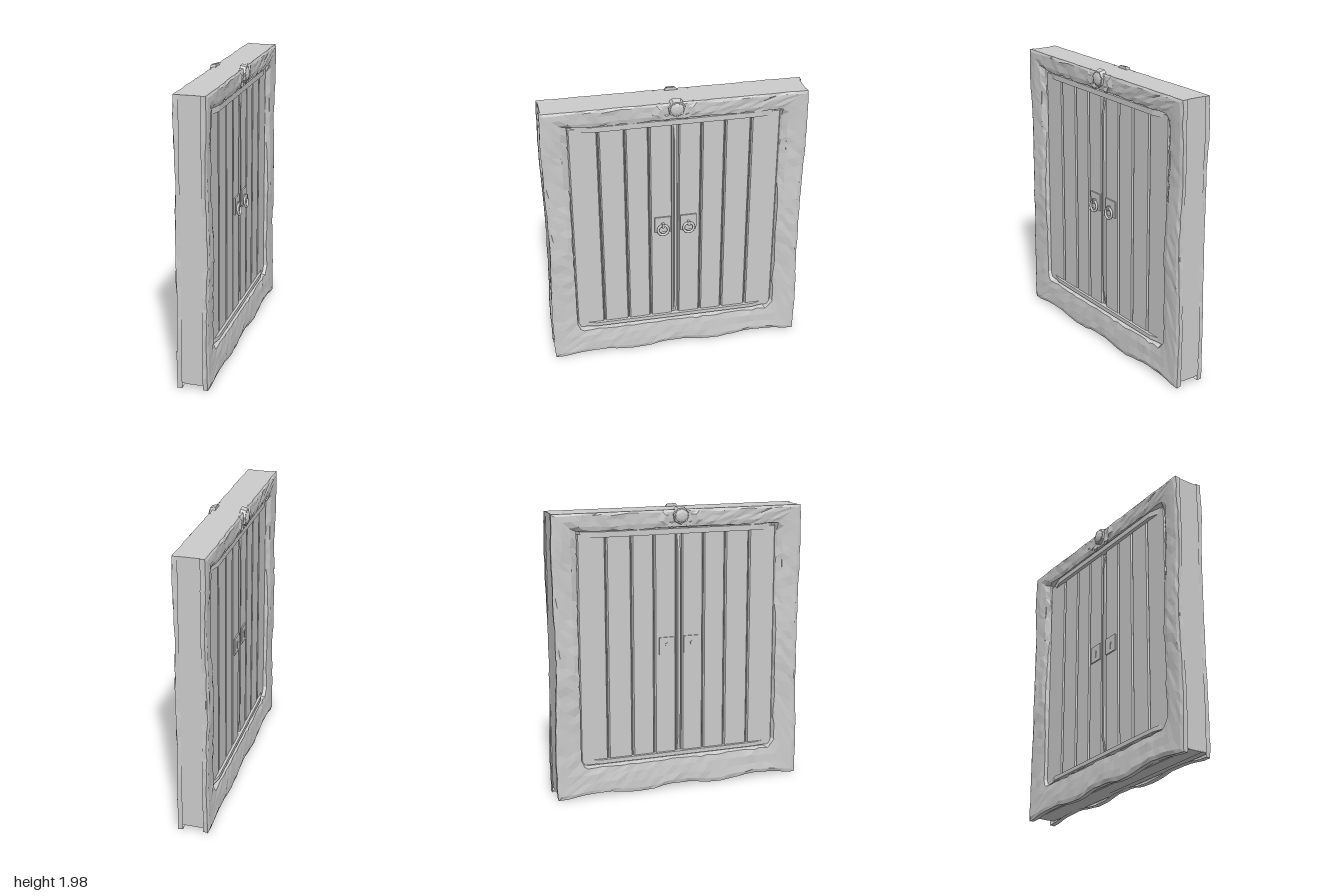
import * as THREE from 'three';

const stone = new THREE.MeshStandardMaterial({ color: 0xcccccc, flatShading: true, side: THREE.DoubleSide });
const smooth = new THREE.MeshStandardMaterial({ color: 0xcccccc });

function add(parent, name, geometry, x = 0, y = 0, z = 0, material = stone) {
  const mesh = new THREE.Mesh(geometry, material);
  mesh.name = name;
  mesh.position.set(x, y, z);
  parent.add(mesh);
  return mesh;
}

// Repeatable noise in -1..1
const noise = (a, b) => {
  const s = Math.sin(a * 127.1 + b * 311.7) * 43758.5453;
  return (s - Math.floor(s)) * 2 - 1;
};

// Point on a rectangle outline, walking anticlockwise from the bottom left corner
function rectPoint(side, t, hw, y0, y1) {
  const c = [[-hw, y0], [hw, y0], [hw, y1], [-hw, y1]];
  const a = c[side], b = c[(side + 1) % 4];
  return [a[0] + (b[0] - a[0]) * t, a[1] + (b[1] - a[1]) * t];
}

// Rough hewn surround: a cross-section swept round the doorway, outer rim to inner lip
function frameGeometry() {
  const steps = 28, count = steps * 4;
  const section = [[0.012, 0.07], [0.01, 0.088], [0, 0.101], [0.13, 0.108], [0.4, 0.106], [0.72, 0.104], [0.95, 0.097], [1, 0.06]];
  const positions = [], index = [];
  section.forEach(([f, depth], row) => {
    for (let i = 0; i < count; i++) {
      const side = Math.floor(i / steps), t = (i % steps) / steps;
      const outer = rectPoint(side, t, 0.885, 0.03, 1.972);
      const inner = rectPoint(side, t, 0.71, 0.225, 1.845);
      // wavy outer edges
      const low = side === 0 || i === steps;
      if (low) outer[1] = 0.024 - 0.014 * Math.cos((Math.abs(outer[0]) - 0.29) * 10.5) + noise(i, 3) * 0.004;
      if (side % 2) outer[0] += Math.sign(outer[0]) * 0.007 * Math.cos((outer[1] - 0.3) * 4.5) + noise(i, 5) * 0.003;
      // clipped lower corners of the opening
      if (i === 0 || i === steps) { inner[0] *= 0.965; inner[1] += 0.02; }
      let x = outer[0] + (inner[0] - outer[0]) * f;
      let y = outer[1] + (inner[1] - outer[1]) * f;
      let z = depth;
      if (row > 0 && row < 7) {
        z += 0.004 * Math.cos(y * 6.6) + noise(i, row) * 0.0035;
        if (row > 2) {
          x += noise(i + 40, row) * 0.006;
          y += noise(i + 80, row) * 0.006;
        }
        // jambs fade into the door towards the top
        if (side % 2 && row > 4) z -= THREE.MathUtils.smoothstep(y, 0.9, 1.6) * (row === 6 ? 0.022 : 0.006);
      }
      positions.push(x, y, z);
    }
  });
  for (let r = 0; r < section.length - 1; r++) {
    for (let i = 0; i < count; i++) {
      const j = (i + 1) % count;
      const a = r * count + i, b = r * count + j, c = a + count, d = b + count;
      index.push(a, b, d, a, d, c);
    }
  }
  const g = new THREE.BufferGeometry();
  g.setAttribute('position', new THREE.Float32BufferAttribute(positions, 3));
  g.setIndex(index);
  g.computeVertexNormals();
  return g;
}

// Plank with chamfered long edges
function plankGeometry(width, height) {
  const h = width / 2, c = 0.008;
  const s = new THREE.Shape();
  [[-h, 0], [h, 0], [h, 0.014], [h - c, 0.022], [c - h, 0.022], [-h, 0.014]]
    .forEach(([x, y], i) => (i ? s.lineTo(x, y) : s.moveTo(x, y)));
  const g = new THREE.ExtrudeGeometry(s, { depth: height, bevelEnabled: false });
  return g.rotateX(Math.PI / 2).scale(1, 1, -1).rotateX(0).translate(0, height / 2, 0);
}

// Ridged moulding with mitred ends
function mouldingGeometry(length, height, depth) {
  const g = new THREE.CylinderGeometry(Math.SQRT1_2 - 0.12, Math.SQRT1_2, 1, 4, 1);
  g.rotateY(Math.PI / 4).rotateX(Math.PI / 2).scale(length, height, depth);
  return g;
}

function createFace(withRings) {
  const face = new THREE.Group();
  add(face, 'stoneSurround', frameGeometry());

  // door planks, mirrored about the centre seam
  const edges = [0.018, 0.178, 0.338, 0.515, 0.715];
  const bottom = 0.235, top = 1.83;
  for (const s of [-1, 1]) {
    for (let i = 0; i < 4; i++) {
      const w = edges[i + 1] - edges[i] - 0.006;
      const h = w / 2, c = 0.008;
      const shape = new THREE.Shape();
      [[-h, 0], [h, 0], [h, 0.014], [h - c, 0.024], [c - h, 0.024], [-h, 0.014]]
        .forEach(([x, y], k) => (k ? shape.lineTo(x, y) : shape.moveTo(x, y)));
      const g = new THREE.ExtrudeGeometry(shape, { depth: top - bottom, bevelEnabled: false });
      g.rotateX(Math.PI / 2).scale(1, 1, -1);
      // turn the section so that its chamfered side looks outward
      const p = g.attributes.position;
      for (let k = 0; k < p.count; k++) p.setZ(k, -p.getZ(k));
      g.rotateX(0);
      const plank = add(face, 'doorPlank', g, s * (edges[i] + edges[i + 1]) / 2, top, 0.05);
      const box = new THREE.Box3().setFromBufferAttribute(p);
      if (box.max.z <= 0.001) plank.position.z += 0.024;
    }
    // handle plate with a ring, or a keyhole on the other face
    const px = s * 0.09;
    add(face, 'handlePlate', new THREE.BoxGeometry(0.112, 0.12, 0.012), px, 1.035, 0.077);
    if (withRings) {
      const ring = add(face, 'handleRing', new THREE.TorusGeometry(0.036, 0.009, 8, 24), px, 1.0, 0.096, smooth);
      ring.rotation.x = -0.12;
      add(face, 'ringStaple', new THREE.BoxGeometry(0.016, 0.03, 0.03), px, 1.037, 0.092);
    } else {
      add(face, 'keyhole', new THREE.CylinderGeometry(0.012, 0.012, 0.006, 10).rotateX(Math.PI / 2), px, 1.045, 0.084);
      add(face, 'keyholeSlot', new THREE.BoxGeometry(0.012, 0.035, 0.006), px, 1.022, 0.084);
    }
    // rough stones beside the boss
    const lump = add(face, 'sideStone', new THREE.DodecahedronGeometry(0.056, 0), s * 0.117, 1.918, 0.098);
    lump.scale.set(0.9, 1.05, 0.4);
    lump.rotation.z = s * 0.4;
    const chip = add(face, 'stoneChip', new THREE.DodecahedronGeometry(0.03, 0), s * 0.065, 1.872, 0.1);
    chip.scale.z = 0.5;
  }
  add(face, 'centreSeam', mouldingGeometry(0.02, 1.57, 0.024), 0, 1.033, 0.066);
  add(face, 'topMoulding', mouldingGeometry(1.38, 0.045, 0.035), 0, 1.825, 0.079);
  add(face, 'bottomMoulding', mouldingGeometry(1.38, 0.034, 0.03), 0, 0.252, 0.076);

  // faceted boss over the doors
  add(face, 'bossRim', new THREE.CylinderGeometry(0.056, 0.068, 0.04, 7).rotateX(Math.PI / 2), 0, 1.93, 0.103);
  const boss = add(face, 'bossDome', new THREE.IcosahedronGeometry(0.047, 1), 0, 1.93, 0.12);
  boss.scale.z = 0.38;
  return face;
}

export function createModel() {
  const model = new THREE.Group();
  add(model, 'wallCore', new THREE.BoxGeometry(0.1, 1.93, 1.752), 0, 1.005, 0);

  // plain band round the thickness of the slab
  for (const s of [-1, 1]) {
    add(model, 'sideSlab', new THREE.BoxGeometry(0.19, 1.925, 0.12), 0, 1.006, s * 0.817);
  }
  add(model, 'topSlab', new THREE.BoxGeometry(0.19, 0.1, 1.754), 0, 1.92, 0);
  add(model, 'bottomSlab', new THREE.BoxGeometry(0.19, 0.12, 1.754), 0, 0.103, 0);

  for (const s of [1, -1]) {
    const face = createFace(s > 0);
    face.name = s > 0 ? 'ringSide' : 'keyholeSide';
    face.rotation.y = s * Math.PI / 2;
    model.add(face);
  }
  return model;
}
